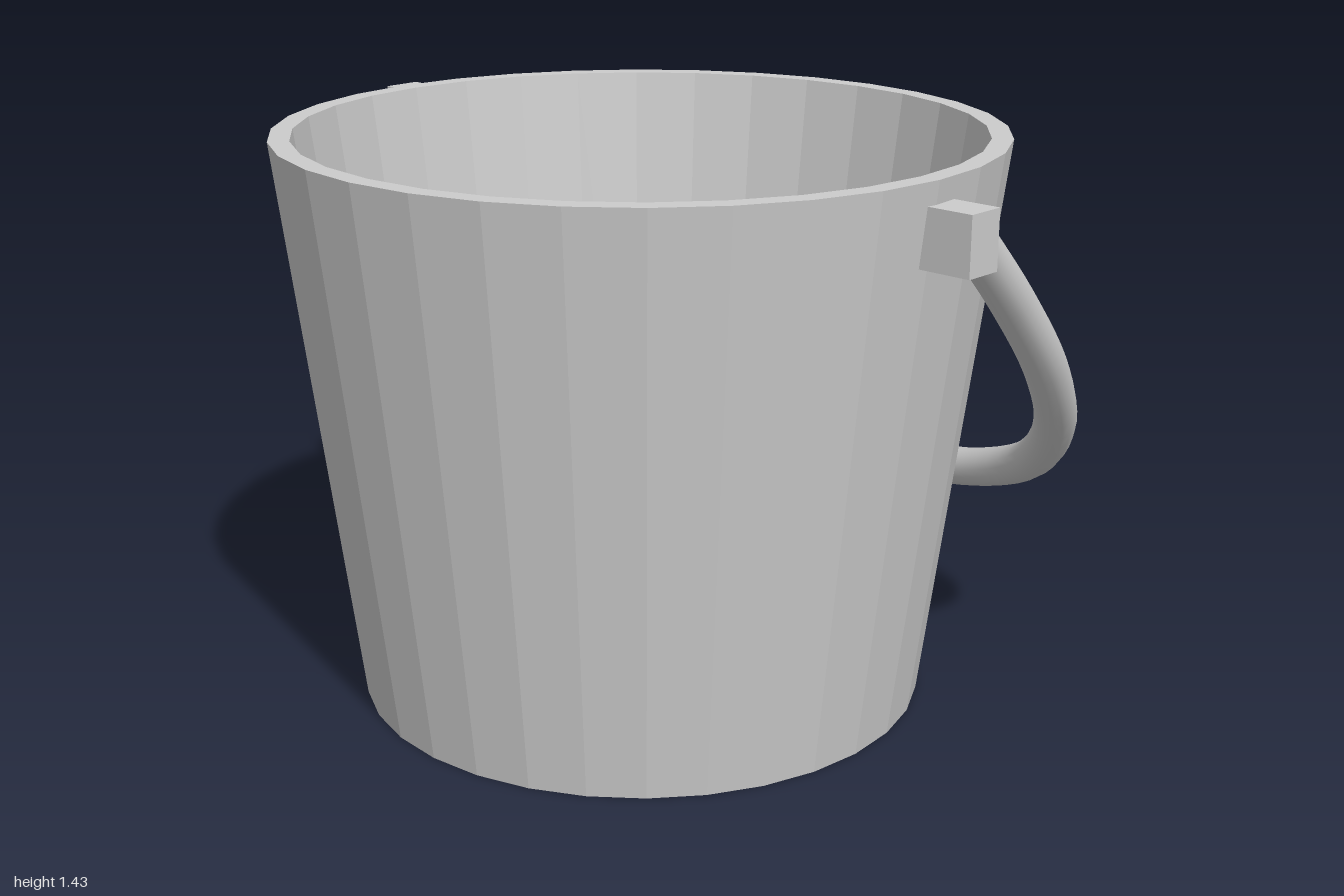
import * as THREE from 'three';

export function createModel() {
  const model = new THREE.Group();
  const flat = new THREE.MeshStandardMaterial({ color: 0xcccccc, flatShading: true });
  const smooth = new THREE.MeshStandardMaterial({ color: 0xcccccc });

  const add = (name, geometry, material, x = 0, y = 0, z = 0) => {
    const mesh = new THREE.Mesh(geometry, material);
    mesh.name = name;
    mesh.position.set(x, y, z);
    model.add(mesh);
  };

  // Tapered 32-sided bucket: underside, outer wall, rim, inner wall, floor
  const profile = [
    [0, 0], [0.718, 0], [0.895, 1.433], [0.843, 1.433], [0.657, 0.03], [0, 0.03],
  ].map(([r, y]) => new THREE.Vector2(r, y));
  add('bucket', new THREE.LatheGeometry(profile, 32), flat, -0.002, 0, 0.046);

  // Handle mounts, the handle sits slightly askew
  add('leftMount', new THREE.BoxGeometry(0.14, 0.142, 0.102), flat, 0.93, 1.306, 0.022);
  add('rightMount', new THREE.BoxGeometry(0.16, 0.142, 0.102), flat, -0.92, 1.345, -0.031);

  // Handle hanging down behind the bucket; height follows from depth
  const path = [
    [-0.908, -0.03], [-0.907, -0.15], [-0.885, -0.355], [-0.815, -0.58], [-0.665, -0.745],
    [-0.475, -0.835], [-0.25, -0.878], [-0.05, -0.89], [0.2, -0.878], [0.435, -0.835],
    [0.643, -0.75], [0.808, -0.597], [0.897, -0.407], [0.929, -0.2], [0.936, 0.01],
  ].map(([x, z]) => {
    const t = -z / 0.89;
    return new THREE.Vector3(x, 1.32 - 0.945 * t + 0.08 * t * (1 - t), z);
  });
  const curve = new THREE.CatmullRomCurve3(path);
  add('handle', new THREE.TubeGeometry(curve, 64, 0.053, 16), smooth);

  return model;
}
